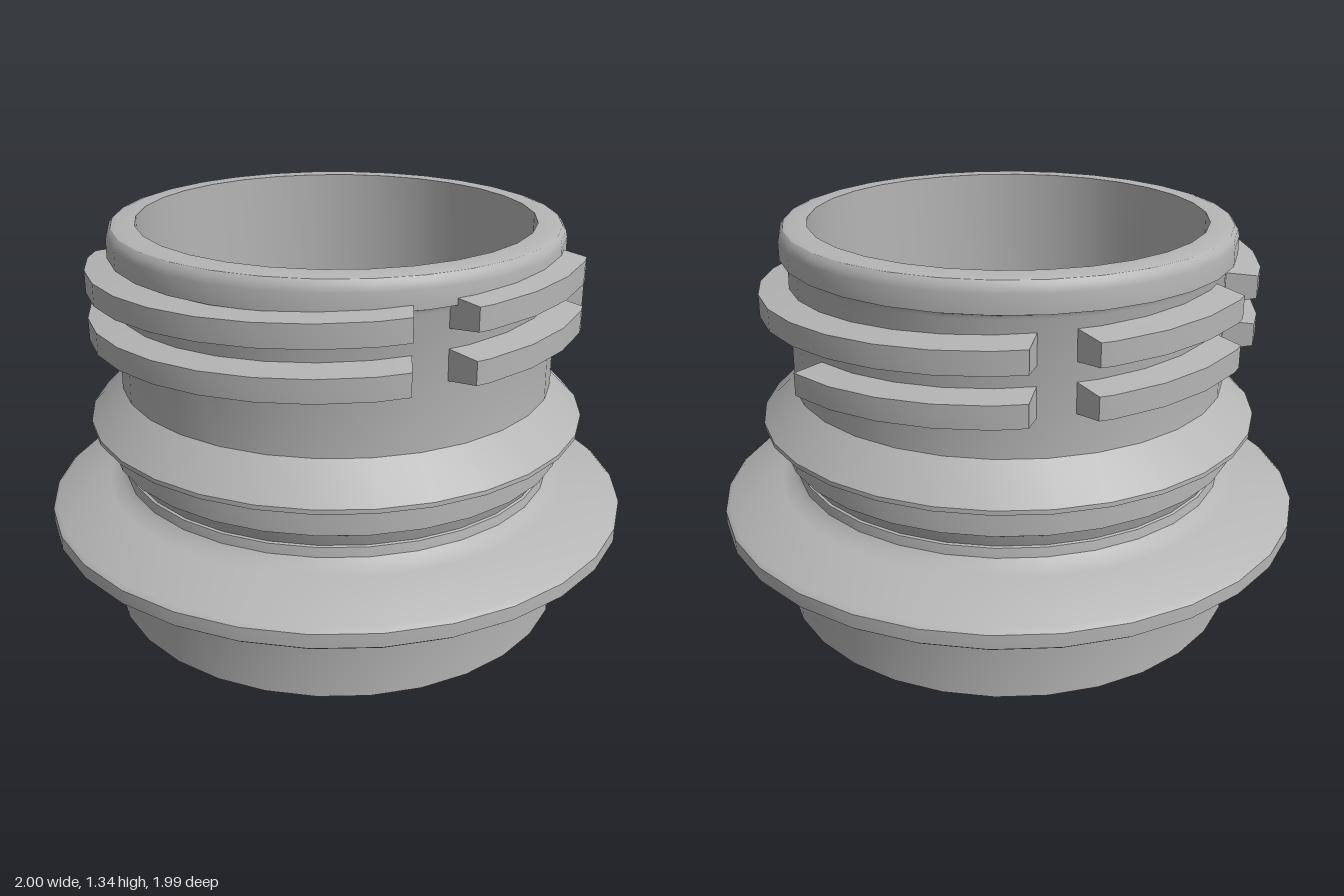
import * as THREE from 'three';
import { toCreasedNormals } from 'three/addons/utils/BufferGeometryUtils.js';

const SIDES = 30, STEP = 360 / SIDES;
const rad = THREE.MathUtils.degToRad;

// Radius on the polygonal wall at angle a (degrees), given its corner radius
function wallRadius(r, a) {
  const off = ((a % STEP) + STEP) % STEP - STEP / 2;
  return r * Math.cos(rad(STEP / 2)) / Math.cos(rad(off));
}

// One rib of the screw thread: a trapezoid swept up the helix from a0 to a1.
// The crest is shorter than the root by the end tapers t0 and t1.
function threadRib(a0, a1, t0, t1) {
  const stops = [0];
  for (let a = Math.ceil((a0 + 4) / STEP) * STEP; a < a1 - 3.5; a += STEP) stops.push((a - a0) / (a1 - a0));
  stops.push(1);
  const section = [[0.71, -0.052, 0], [0.83, -0.037, 1], [0.83, 0.037, 1], [0.71, 0.052, 0]];
  const pos = [], idx = [];
  stops.forEach((s, i) => {
    for (const [r, dy, crest] of section) {
      let a = a0 + (a1 - a0) * s;
      if (crest && i === 0) a += t0;
      if (crest && i === stops.length - 1) a -= t1;
      const R = wallRadius(r, a);
      pos.push(R * Math.cos(rad(a)), 0.94 + 0.16 * a / 360 + dy, -R * Math.sin(rad(a)));
    }
  });
  for (let i = 0; i < stops.length - 1; i++) {
    for (let j = 0; j < 4; j++) {
      const a = i * 4 + j, b = i * 4 + (j + 1) % 4, c = a + 4, d = b + 4;
      idx.push(a, c, b, b, c, d);
    }
  }
  const e = (stops.length - 1) * 4;
  idx.push(0, 1, 2, 0, 2, 3, e, e + 2, e + 1, e, e + 3, e + 2);
  const g = new THREE.BufferGeometry();
  g.setAttribute('position', new THREE.Float32BufferAttribute(pos, 3));
  g.setIndex(idx);
  return toCreasedNormals(g, rad(25));
}

export function createModel() {
  const group = new THREE.Group();
  group.name = 'threadedNeck';
  const grey = new THREE.MeshStandardMaterial({ color: 0xb5b5b5 });
  grey.name = 'plastic grey';

  // Hollow neck: bore, base, support flange, groove, collar, wall and lip
  const profile = [
    [0.66, 0], [0.795, 0], [0.795, 0.265], [0.801, 0.288], [0.815, 0.303], [0.84, 0.31],
    [0.99, 0.31], [1, 0.318], [1, 0.365], [0.985, 0.378], [0.80, 0.43], [0.76, 0.445],
    [0.742, 0.465], [0.738, 0.497], [0.73, 0.50], [0.745, 0.54], [0.78, 0.56],
    [0.78, 0.665], [0.845, 0.665], [0.845, 0.68], [0.735, 0.79],
    [0.73, 1.215], [0.735, 1.228], [0.755, 1.235], [0.755, 1.295], [0.75, 1.317],
    [0.738, 1.331], [0.72, 1.336], [0.66, 1.336], [0.66, 0],
  ].map(([r, y]) => new THREE.Vector2(r, y));
  const lathe = new THREE.LatheGeometry(profile, SIDES, Math.PI / 2);
  const neck = new THREE.Mesh(toCreasedNormals(lathe, rad(32)), grey);
  neck.name = 'neckBody';
  group.add(neck);

  // Screw thread: nearly two turns, broken by four vent gaps per turn
  const thread = new THREE.Group();
  thread.name = 'screwThread';
  const ribs = [[0, 58, 0]];
  for (const turn of [0, 360]) {
    ribs.push([turn + 66, turn + 114], [turn + 122, turn + 238], [turn + 246, turn + 294]);
    if (turn === 0) ribs.push([302, 418]);
  }
  ribs.forEach(([a0, a1, t0 = 3], i) => {
    const rib = new THREE.Mesh(threadRib(a0, a1, t0, 3), grey);
    rib.name = 'threadRib' + (i + 1);
    thread.add(rib);
  });
  group.add(thread);
  return group;
}
